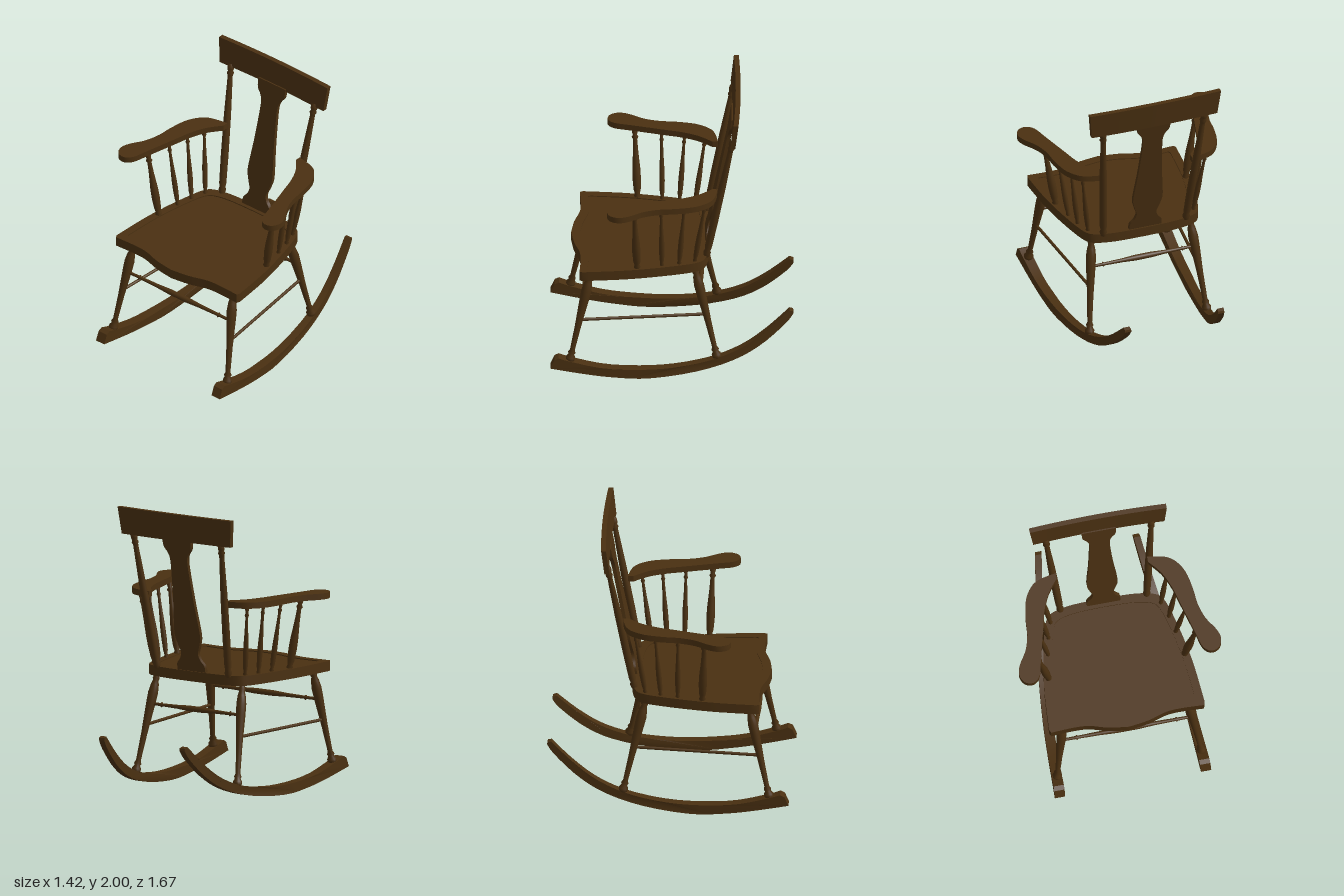
import * as THREE from 'three';
import { toCreasedNormals } from 'three/addons/utils/BufferGeometryUtils.js';

const wood = new THREE.MeshStandardMaterial({ color: 0x4a3011 });
wood.name = 'dark wood';

const V = (x, y, z) => new THREE.Vector3(x, y, z);
const P = (a) => a.map(([x, y]) => new THREE.Vector2(x, y));

export function createModel() {
  const model = new THREE.Group();

  const add = (name, geometry) => {
    const mesh = new THREE.Mesh(geometry, wood);
    mesh.name = name;
    model.add(mesh);
  };

  // Move every vertex by a rule, then smooth gentle edges
  const bend = (geo, rule) => {
    const p = geo.attributes.position, v = V(0, 0, 0);
    for (let i = 0; i < p.count; i++) {
      rule(v.fromBufferAttribute(p, i));
      p.setXYZ(i, v.x, v.y, v.z);
    }
    return toCreasedNormals(geo, 0.5);
  };

  // Turned part between two points; profile rows are [radius, fraction of length]
  const turned = (name, a, b, profile, sides = 16) => {
    const length = a.distanceTo(b);
    const geo = new THREE.LatheGeometry(P(profile.map(([r, t]) => [r, t * length])), sides);
    const q = new THREE.Quaternion().setFromUnitVectors(V(0, 1, 0), b.clone().sub(a).normalize());
    add(name, geo.applyQuaternion(q).translate(a.x, a.y, a.z));
  };

  // Horizontal board from a plan outline of [x, z] points
  const board = (outline, y, height, hole) => {
    const flip = (o) => o.map((p) => new THREE.Vector2(p.x, -p.y));
    const shape = new THREE.Shape(flip(outline));
    if (hole) shape.holes.push(new THREE.Path(flip(hole)));
    const geo = new THREE.ExtrudeGeometry(shape, { depth: height, bevelEnabled: false });
    return toCreasedNormals(geo.rotateX(-Math.PI / 2).translate(0, y, 0), 0.5);
  };

  // Seat: scalloped front, tapering sides, raised rim around a shallow dish
  const seatFront = new THREE.SplineCurve(P([[0, 0.695], [0.14, 0.675], [0.27, 0.637], [0.38, 0.63], [0.535, 0.637]])).getPoints(16);
  const seatSide = new THREE.SplineCurve(P([[0.545, 0.615], [0.525, 0.35], [0.495, 0.15], [0.455, -0.04],
    [0.415, -0.17], [0.36, -0.225], [0.22, -0.255], [0, -0.262]])).getPoints(28);
  const half = [...seatFront, ...seatSide];
  const seat = [...half, ...half.slice(1, -1).reverse().map((p) => new THREE.Vector2(-p.x, p.y))];
  const dish = seat.map((p) => new THREE.Vector2(p.x * 0.89, 0.21 + (p.y - 0.21) * 0.87));
  add('seat', board(seat, 0.8, 0.063));
  add('seatRim', board(seat, 0.863, 0.007, dish));

  // Turning profiles
  const legProfile = [[0.018, 0], [0.03, 0.02], [0.033, 0.05], [0.02, 0.08], [0.026, 0.1], [0.017, 0.13], [0.022, 0.4],
    [0.033, 0.7], [0.035, 0.8], [0.028, 0.88], [0.02, 0.92], [0.025, 0.94], [0.019, 0.97], [0.019, 1]];
  const spindleProfile = [[0.6, 0], [0.8, 0.03], [0.6, 0.06], [0.85, 0.12], [1, 0.28], [0.95, 0.42], [0.65, 0.65],
    [0.5, 0.84], [0.8, 0.87], [0.5, 0.9], [0.7, 0.95], [0.5, 1]];
  const postProfile = [[0.02, 0], [0.026, 0.03], [0.02, 0.05], [0.025, 0.08], [0.027, 0.3], [0.025, 0.6],
    [0.018, 0.89], [0.018, 0.91], [0.025, 0.925], [0.018, 0.94], [0.024, 0.96], [0.024, 0.98], [0.017, 1]];
  const barProfile = [[0.01, 0], [0.011, 0.11], [0.018, 0.12], [0.011, 0.13], [0.014, 0.3], [0.02, 0.42], [0.02, 0.58],
    [0.014, 0.7], [0.011, 0.87], [0.018, 0.88], [0.011, 0.89], [0.01, 1]];

  // Rocker side profile as [-z, y]
  const rockerBottom = new THREE.SplineCurve(P([[-0.838, 0.1], [-0.6, 0.05], [-0.4, 0.018], [-0.16, 0], [0.17, 0.035],
    [0.435, 0.11], [0.62, 0.215], [0.78, 0.36], [0.835, 0.435]])).getPoints(26);
  const rockerTop = new THREE.SplineCurve(P([[0.806, 0.46], [0.66, 0.325], [0.5, 0.21], [0.31, 0.13], [0.09, 0.085],
    [-0.16, 0.07], [-0.456, 0.09], [-0.695, 0.15], [-0.78, 0.18]])).getPoints(26);
  const rockerShape = new THREE.Shape([...rockerBottom, ...P([[0.832, 0.452]]), ...rockerTop, ...P([[-0.81, 0.165]])]);
  const rockerX = new THREE.SplineCurve(P([[-0.84, 0.34], [-0.3, 0.43], [0.25, 0.487], [0.84, 0.512]]));

  // Arm outline in plan, [x, z]
  const armOutline = new THREE.SplineCurve(P([[0.32, -0.315], [0.44, -0.29], [0.507, -0.245], [0.56, -0.155], [0.587, -0.02],
    [0.597, 0.09], [0.63, 0.2], [0.69, 0.3], [0.708, 0.37], [0.68, 0.43], [0.62, 0.445], [0.57, 0.4], [0.54, 0.29],
    [0.507, 0.165], [0.475, 0.045], [0.445, -0.067], [0.395, -0.18], [0.32, -0.275]])).getPoints(68);

  for (const s of [1, -1]) {
    const side = s > 0 ? 'left' : 'right';

    // Curved runner, toeing in and thinning toward the back
    const rocker = new THREE.ExtrudeGeometry(rockerShape, { depth: 1, bevelEnabled: false });
    rocker.translate(0, 0, -0.5).rotateY(Math.PI / 2);
    add(side + 'Rocker', bend(rocker, (v) => {
      const t = (v.z + 0.84) / 1.68;
      v.x = v.x * (0.045 + 0.028 * t) + s * rockerX.getPoint(rockerParam(v.z)).y;
    }));

    // Legs and side stretcher
    turned(side + 'FrontLeg', V(s * 0.507, 0.135, 0.705), V(s * 0.44, 0.81, 0.56), legProfile);
    turned(side + 'RearLeg', V(s * 0.432, 0.115, -0.312), V(s * 0.36, 0.81, -0.153), legProfile);
    turned(side + 'Stretcher', V(s * 0.475, 0.45, 0.635), V(s * 0.397, 0.45, -0.235), [[0.011, 0], [0.011, 1]], 10);

    // Arm rest with its spindles
    add(side + 'Arm', board(armOutline.map((p) => new THREE.Vector2(s * p.x, p.y)), 1.36, 0.043));
    [[0.475, 0.24, 0.56, 0.26, 0.029], [0.445, 0.07, 0.525, 0.075, 0.019],
      [0.42, -0.048, 0.49, -0.085, 0.019], [0.385, -0.155, 0.455, -0.228, 0.019]].forEach(([x0, z0, x1, z1, r]) =>
      turned(side + 'ArmSpindle', V(s * x0, 0.86, z0), V(s * x1, 1.37, z1), spindleProfile.map(([k, t]) => [k * r, t]), 12));

    // Back post
    turned(side + 'BackPost', V(s * 0.302, 0.86, -0.235), V(s * 0.372, 1.83, -0.42), postProfile);
  }

  // Cross stretchers
  turned('frontStretcher', V(-0.46, 0.595, 0.605), V(0.46, 0.595, 0.605), barProfile);
  turned('rearStretcher', V(-0.382, 0.595, -0.2), V(0.382, 0.595, -0.2), barProfile);

  // Shaped centre splat, leaning back
  const splatHalf = new THREE.SplineCurve(P([[0.117, 0.86], [0.115, 0.915], [0.085, 0.955], [0.072, 1.0], [0.09, 1.055], [0.107, 1.12],
    [0.104, 1.2], [0.088, 1.36], [0.075, 1.55], [0.072, 1.67], [0.088, 1.72], [0.115, 1.76], [0.12, 1.83]])).getPoints(48);
  const splat = new THREE.ExtrudeGeometry(
    new THREE.Shape([...splatHalf, ...splatHalf.map((p) => new THREE.Vector2(-p.x, p.y)).reverse()]),
    { depth: 0.026, bevelEnabled: false });
  add('backSplat', bend(splat, (v) => { v.z += -0.25 - 0.19 * (v.y - 0.86); }));

  // Crest rail: flared upward, bowed back at the centre
  add('crestRail', bend(new THREE.BoxGeometry(2, 0.19, 0.034, 16, 1, 1), (v) => {
    const t = v.y / 0.19 + 0.5, u = v.x;
    v.x = u * (0.46 + 0.02 * t);
    v.z += -0.432 - 0.022 * t + 0.014 * u * u;
    v.y += 1.905;
  }));

  return model;

  // Curve parameter of the rocker path at depth z (four control points)
  function rockerParam(z) {
    let lo = 0, hi = 1;
    for (let i = 0; i < 24; i++) {
      const mid = (lo + hi) / 2;
      if (rockerX.getPoint(mid).x < z) lo = mid; else hi = mid;
    }
    return lo;
  }
}
